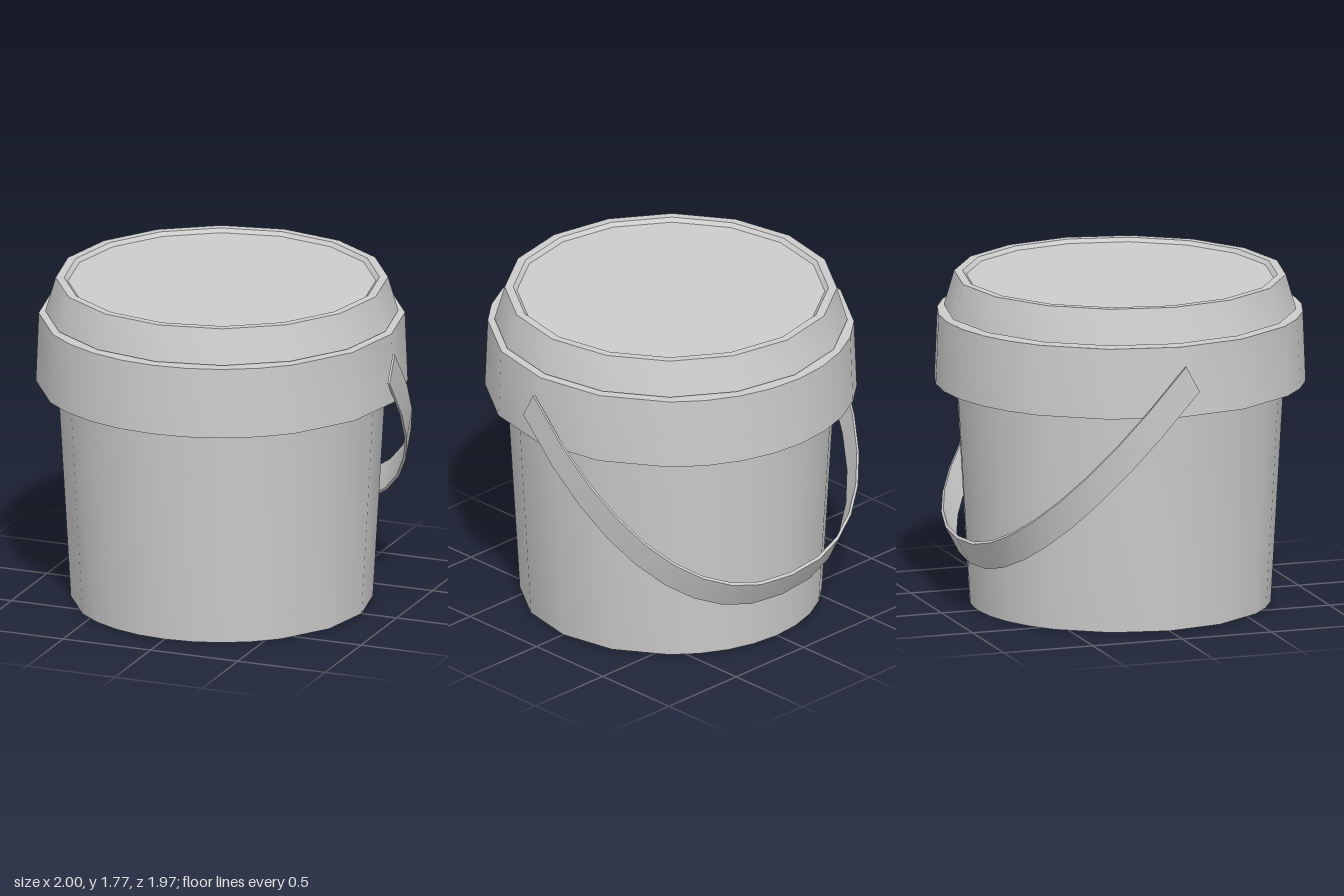
import * as THREE from 'three';
import { toCreasedNormals } from 'three/addons/utils/BufferGeometryUtils.js';

const material = new THREE.MeshStandardMaterial({ color: 0xcccccc, side: THREE.DoubleSide });

function part(name, geometry, crease = 0.6) {
  const mesh = new THREE.Mesh(toCreasedNormals(geometry, crease), material);
  mesh.name = name;
  return mesh;
}

function lathe(profile, segments) {
  return new THREE.LatheGeometry(profile.map(([r, y]) => new THREE.Vector2(r, y)), segments);
}

// Turned shape with finer facets towards the front and back than at the sides
function unevenLathe(profile) {
  const steps = [0, 11.25, 22.5, 33.75, 45, 67.5];
  for (let k = 5; k >= 0; k--) steps.push(k === 5 ? 90 : 180 - steps[k + 1]);
  const angles = [...steps, ...steps.map(a => a + 180), 360];
  const geometry = lathe(profile, 24);
  const pos = geometry.attributes.position;
  const n = profile.length;
  for (let i = 0; i < pos.count; i++) {
    const a = THREE.MathUtils.degToRad(angles[Math.floor(i / n)] % 360);
    const r = profile[i % n][0];
    pos.setXYZ(i, r * Math.sin(a), profile[i % n][1], r * Math.cos(a));
  }
  return geometry;
}

// Thin strap swept along a slanted, slightly squared half-ellipse
function strapGeometry() {
  const segments = 18, thickness = 0.012;
  const power = 2 / 2.3;
  const verts = [], index = [];
  for (let i = 0; i <= segments; i++) {
    const a = -Math.PI / 2 + (Math.PI * i) / segments;
    const c = Math.max(0, Math.cos(a));
    for (const [inset, side] of [[0, -0.5], [0, 0.5], [thickness, 0.5], [thickness, -0.5]]) {
      const x = (1 - inset) * Math.sign(Math.sin(a)) * Math.abs(Math.sin(a)) ** power;
      const t = (1 - inset) * c ** power;
      verts.push(x, 1.405 - 1.077 * t + 0.14 * side, 0.062 - 0.94 * t - 0.075 * side);
    }
    if (i === segments) break;
    for (let k = 0; k < 4; k++) {
      const p = i * 4 + k, q = i * 4 + (k + 1) % 4;
      index.push(p, q, p + 4, q, q + 4, p + 4);
    }
  }
  const e = segments * 4;
  index.push(0, 2, 1, 0, 3, 2, e, e + 1, e + 2, e, e + 2, e + 3);
  const geometry = new THREE.BufferGeometry();
  geometry.setAttribute('position', new THREE.Float32BufferAttribute(verts, 3));
  geometry.setIndex(index);
  return geometry;
}

export function createModel() {
  const group = new THREE.Group();
  group.name = 'bucket';

  // Tapered tub with closed bottom
  group.add(part('tub', unevenLathe([[0, 0], [0.8, 0], [0.868, 1.19]])));

  // Collar around the mouth, with its underside and top ledge
  group.add(part('collar', unevenLathe([[0.868, 1.19], [0.985, 1.2], [0.97, 1.578], [0.86, 1.578]])));

  // Lid with a raised rim and shallow sunken top
  group.add(part('lid', lathe([
    [0.87, 1.57], [0.87, 1.588], [0.935, 1.588], [0.88, 1.775],
    [0.835, 1.775], [0.815, 1.755], [0, 1.755],
  ], 16)));

  // Carrying strap hanging down at the back
  group.add(part('handle', strapGeometry()));

  return group;
}
